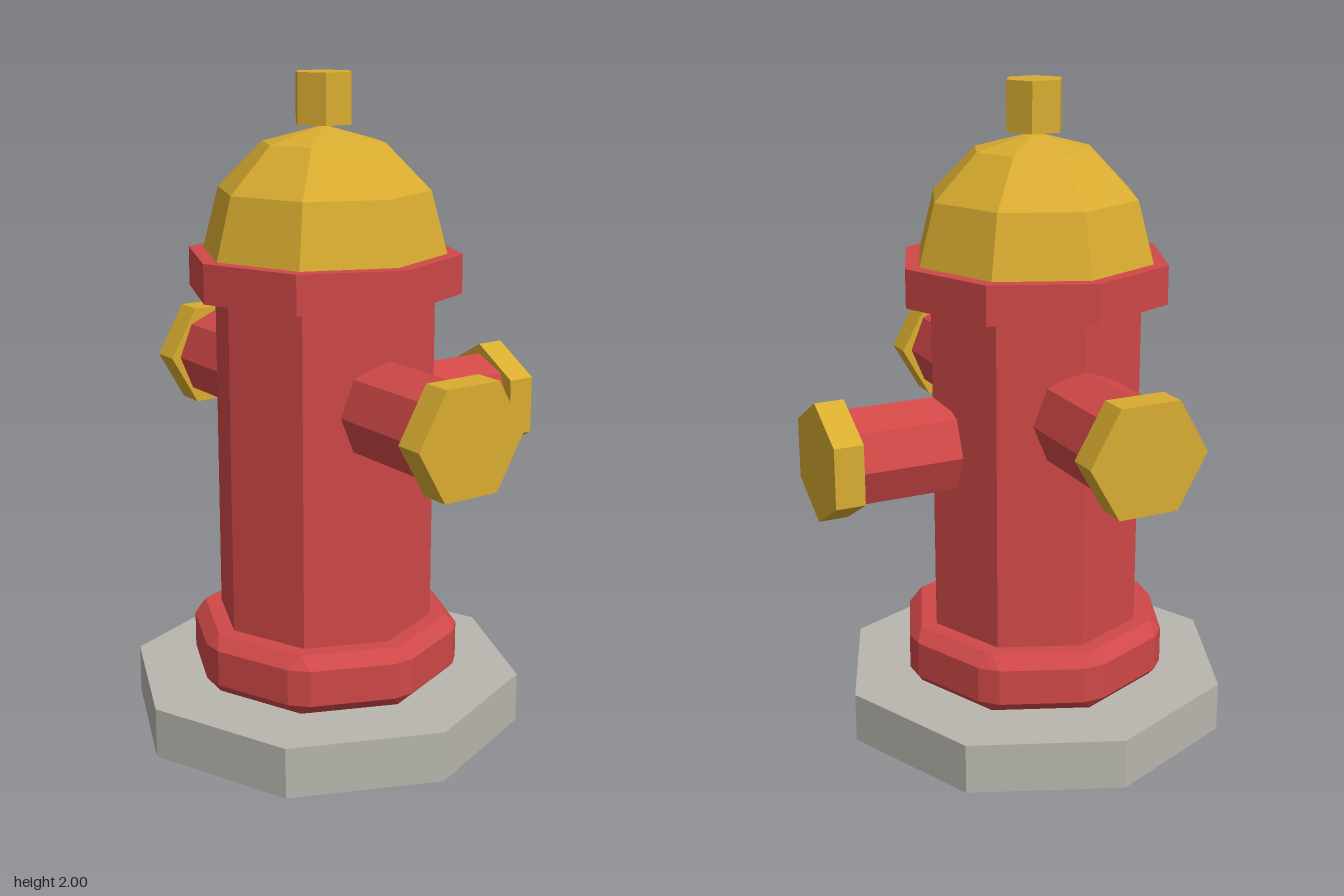
import * as THREE from 'three';
import { ConvexGeometry } from 'three/addons/geometries/ConvexGeometry.js';

const paint = (name, color) => {
  const m = new THREE.MeshStandardMaterial({ color, flatShading: true });
  m.name = name;
  return m;
};

export function createModel() {
  const red = paint('red paint', 0xd04848);
  const gold = paint('gold paint', 0xd9ac30);
  const stone = paint('grey stone', 0xb8b6ae);

  const hydrant = new THREE.Group();
  hydrant.name = 'hydrant';
  hydrant.position.z = 0.045; // the back outlet shifts the centre

  const add = (parent, name, geometry, material) => {
    const mesh = new THREE.Mesh(geometry, material);
    mesh.name = name;
    parent.add(mesh);
    return mesh;
  };

  // Upright prism between two heights
  const prism = (parent, name, radius, sides, y0, y1, material) => {
    const g = new THREE.CylinderGeometry(radius, radius, y1 - y0, sides);
    g.translate(0, (y0 + y1) / 2, 0);
    return add(parent, name, g, material);
  };

  // Octagonal prism with every edge bevelled
  const bevelledOctagon = (radius, y0, y1, bevel) => {
    const points = [];
    const halfWidth = bevel * Math.cos(Math.PI / 8);
    const tip = radius - bevel * Math.sin(Math.PI / 8);
    const inner = radius - bevel / Math.cos(Math.PI / 8);
    for (let i = 0; i < 8; i++) {
      const a = (i * Math.PI) / 4;
      const c = Math.cos(a), s = Math.sin(a);
      for (const y of [y0, y1]) points.push(new THREE.Vector3(inner * c, y, inner * s));
      for (const y of [y0 + bevel, y1 - bevel]) {
        for (const w of [-halfWidth, halfWidth]) {
          points.push(new THREE.Vector3(tip * c - w * s, y, tip * s + w * c));
        }
      }
    }
    return new ConvexGeometry(points);
  };

  // Main column
  prism(hydrant, 'base', 0.612, 8, 0, 0.155, stone);
  add(hydrant, 'footRing', bevelledOctagon(0.427, 0.155, 0.34, 0.037), red);
  prism(hydrant, 'barrel', 0.335, 8, 0.155, 1.36, red);
  prism(hydrant, 'flange', 0.415, 8, 1.36, 1.477, red);

  // Dome and top nut
  const dome = new THREE.SphereGeometry(0.37, 8, 3, 0, Math.PI * 2, 0, Math.PI / 2);
  add(hydrant, 'dome', dome, gold).position.y = 1.477;
  prism(hydrant, 'topNut', 0.09, 6, 1.85, 2, gold);

  // Outlets: octagonal pipe with a hexagonal cap
  const outlet = (name, y, rotX, rotZ) => {
    const group = new THREE.Group();
    group.name = name;
    prism(group, 'pipe', 0.152, 8, 0.305, 0.615, red);
    prism(group, 'cap', 0.183, 6, 0.615, 0.705, gold);
    group.position.y = y;
    group.rotation.set(rotX, 0, rotZ);
    hydrant.add(group);
  };
  outlet('leftOutlet', 1.05, 0, -Math.PI / 2);
  outlet('rightOutlet', 1.05, 0, Math.PI / 2);
  outlet('backOutlet', 0.928, -Math.PI / 2, 0);

  const model = new THREE.Group();
  model.name = 'model';
  model.add(hydrant);
  return model;
}
